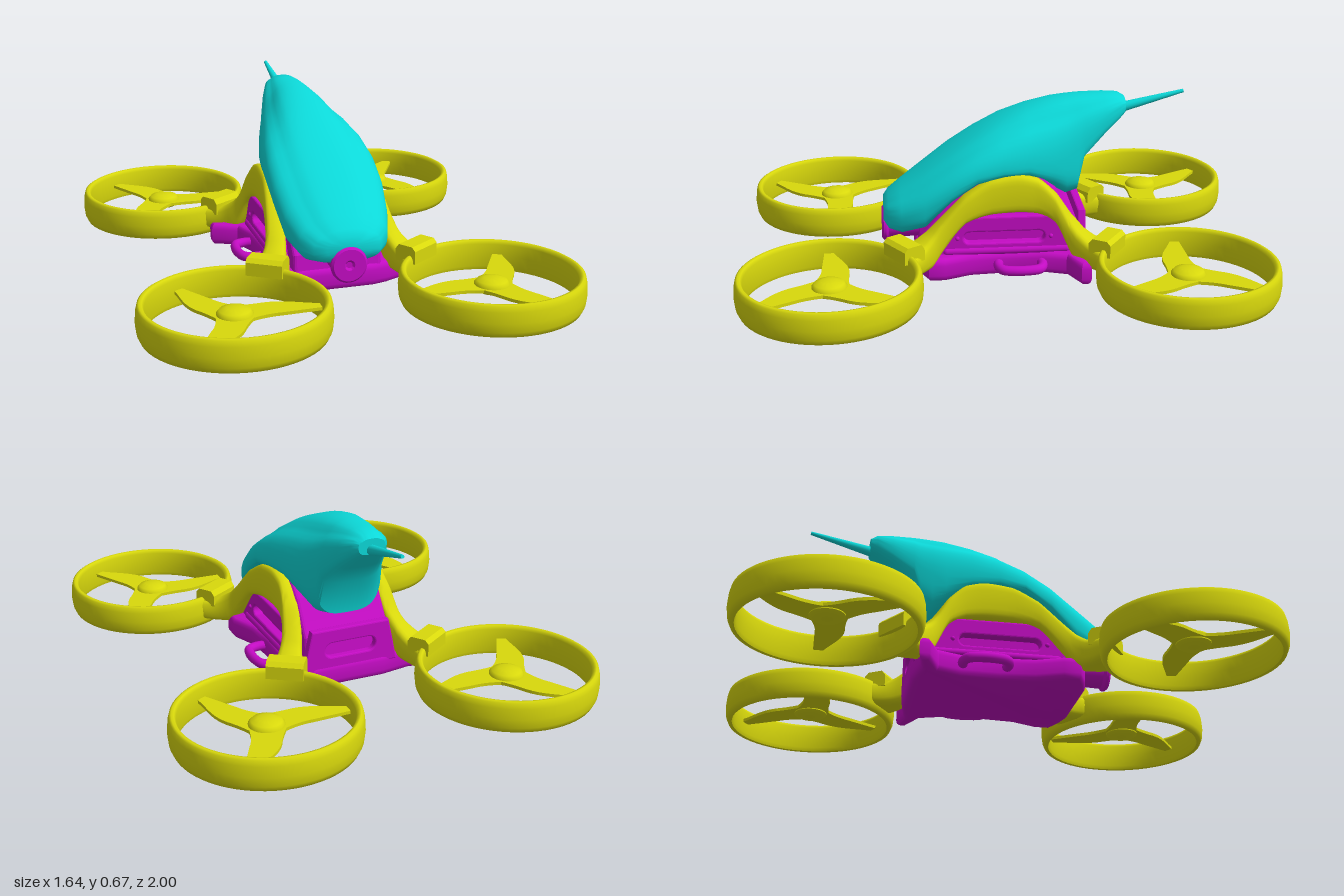
import * as THREE from 'three';
import { toCreasedNormals } from 'three/addons/utils/BufferGeometryUtils.js';

const V = (x, y, z) => new THREE.Vector3(x, y, z);
const paint = (color) => new THREE.MeshStandardMaterial({ color });
const yellow = paint(0xd8d80c), cyan = paint(0x0cd8d8), magenta = paint(0xc40cc4);

function add(parent, name, geometry, material, x = 0, y = 0, z = 0) {
  const mesh = new THREE.Mesh(geometry, material);
  mesh.name = name;
  mesh.position.set(x, y, z);
  parent.add(mesh);
  return mesh;
}

// Skin over rings of points that run counterclockwise and advance towards -z
function loft(rings, crease = 0.7) {
  const n = rings[0].length, last = rings.length - 1, pos = [], idx = [];
  rings.forEach((r) => r.forEach((p) => pos.push(p.x, p.y, p.z)));
  for (const end of [0, last]) {
    const c = rings[end].reduce((s, p) => s.add(p), V(0, 0, 0)).divideScalar(n);
    pos.push(c.x, c.y, c.z);
  }
  const c0 = n * (last + 1);
  for (let j = 0; j < n; j++) {
    const k = (j + 1) % n;
    for (let i = 0; i < last; i++) {
      const a = i * n + j, b = i * n + k;
      idx.push(a, a + n, b, b, a + n, b + n);
    }
    idx.push(c0, j, k, c0 + 1, last * n + k, last * n + j);
  }
  const g = new THREE.BufferGeometry();
  g.setAttribute('position', new THREE.Float32BufferAttribute(pos, 3));
  g.setIndex(idx);
  return toCreasedNormals(g, crease);
}

// Superellipse coordinate
const power = (v, e) => Math.sign(v) * Math.pow(Math.abs(v), e);

// Extrusion of a side (z, y) outline across x
function sideSlab(shape, width, bevel = 0) {
  const g = new THREE.ExtrudeGeometry(shape, {
    depth: width - 2 * bevel, bevelEnabled: bevel > 0, bevelSize: bevel,
    bevelThickness: bevel, bevelOffset: -bevel, bevelSegments: 3, curveSegments: 8,
  });
  g.translate(0, 0, bevel - width / 2);
  return g.rotateY(-Math.PI / 2);
}

const outline = (pts) => new THREE.Shape(pts.map(([a, b]) => new THREE.Vector2(a, b)));

function slot(cx, cy, w, h) {
  const p = new THREE.Path(), r = h / 2, s = w / 2 - r;
  p.absarc(cx + s, cy, r, -Math.PI / 2, Math.PI / 2);
  p.absarc(cx - s, cy, r, Math.PI / 2, Math.PI * 1.5);
  p.closePath();
  return p;
}

// Body shell: z, top, widest height, bottom, half width
function shell() {
  const rows = [
    [0.46, 0.255, 0.215, 0.18, 0.085], [0.44, 0.28, 0.21, 0.155, 0.13], [0.39, 0.317, 0.225, 0.145, 0.172],
    [0.3, 0.385, 0.27, 0.17, 0.203], [0.2, 0.46, 0.345, 0.28, 0.218], [0.1, 0.525, 0.4, 0.355, 0.22],
    [0, 0.582, 0.425, 0.375, 0.212], [-0.1, 0.622, 0.43, 0.37, 0.193], [-0.2, 0.649, 0.43, 0.31, 0.168],
    [-0.25, 0.656, 0.45, 0.275, 0.152], [-0.295, 0.661, 0.48, 0.285, 0.135], [-0.32, 0.662, 0.51, 0.42, 0.126],
    [-0.4, 0.664, 0.57, 0.505, 0.098], [-0.46, 0.66, 0.61, 0.56, 0.072], [-0.485, 0.645, 0.62, 0.585, 0.052],
  ];
  return loft(rows.map(([z, top, mid, low, w]) => Array.from({ length: 48 }, (_, j) => {
    const a = (j / 48) * Math.PI * 2, s = Math.sin(a), c = Math.cos(a);
    const e = s > 0 ? 0.92 : 0.6;
    // Shallow groove on both shoulders marks off the raised spine
    const groove = s > 0 ? 1 - 0.05 * Math.exp(-(((Math.asin(s) - 0.85) / 0.16) ** 2)) : 1;
    return V(w * power(c, e) * groove, mid + (s > 0 ? top - mid : mid - low) * power(s, e) * groove, z);
  })));
}

// Arched arm joining the front and rear rotor: x, z, top, bottom, half width
function arch(side) {
  const rows = [
    [0.3, 0.395, 0.145, 0.05, 0.088], [0.265, 0.34, 0.155, 0.05, 0.06], [0.237, 0.29, 0.19, 0.06, 0.045],
    [0.22, 0.24, 0.24, 0.12, 0.038], [0.205, 0.15, 0.33, 0.22, 0.034], [0.195, 0.05, 0.387, 0.248, 0.03],
    [0.19, -0.05, 0.4, 0.252, 0.03], [0.19, -0.13, 0.383, 0.245, 0.03], [0.197, -0.2, 0.32, 0.21, 0.034],
    [0.212, -0.25, 0.24, 0.12, 0.038], [0.235, -0.29, 0.19, 0.06, 0.045], [0.265, -0.34, 0.155, 0.05, 0.06],
    [0.3, -0.395, 0.145, 0.05, 0.088],
  ];
  const path = new THREE.CatmullRomCurve3(rows.map((r) => V(side * r[0], 0, r[1])));
  const size = new THREE.CatmullRomCurve3(rows.map((r) => V(r[2], r[3], r[4])));
  const rings = [];
  for (let i = 0; i <= 48; i++) {
    const p = path.getPoint(i / 48), s = size.getPoint(i / 48);
    const across = path.getTangent(i / 48).cross(V(0, 1, 0)).normalize();
    rings.push(Array.from({ length: 20 }, (_, j) => {
      const a = (j / 20) * Math.PI * 2;
      const q = p.clone().addScaledVector(across, s.z * power(Math.cos(a), 0.55));
      q.y = (s.x + s.y) / 2 + ((s.x - s.y) / 2) * power(Math.sin(a), 0.55);
      return q;
    }));
  }
  return loft(rings, 0.9);
}

// Swept blade, flipped by hand so that neighbouring rotors mirror each other
function blade(hand) {
  const s = new THREE.Shape();
  s.moveTo(0, hand * 0.075);
  s.quadraticCurveTo(0.09, hand * 0.03, 0.16, hand * 0.034);
  s.lineTo(0.311, hand * 0.03);
  s.lineTo(0.313, hand * -0.005);
  s.bezierCurveTo(0.25, hand * -0.025, 0.2, hand * -0.07, 0.12, hand * -0.07);
  s.quadraticCurveTo(0.06, hand * -0.065, 0, hand * -0.075);
  const g = new THREE.ExtrudeGeometry(s, { depth: 0.012, bevelEnabled: false, curveSegments: 10 });
  return g.rotateX(-Math.PI / 2);
}

function rotor(sx, sz) {
  const g = new THREE.Group();
  g.name = 'rotor';
  g.position.set(sx * 0.48, 0, sz * 0.66);
  const duct = [
    [0.314, 0.03], [0.329, 0.03], [0.338, 0.05], [0.342, 0.085], [0.339, 0.125], [0.334, 0.145],
    [0.326, 0.15], [0.316, 0.148], [0.309, 0.135], [0.307, 0.09], [0.309, 0.045], [0.314, 0.03],
  ].map(([r, y]) => new THREE.Vector2(r, y));
  add(g, 'duct', new THREE.LatheGeometry(duct, 64), yellow);
  const hub = [[0, 0.068], [0.05, 0.07], [0.065, 0.08], [0.065, 0.1], [0.055, 0.112], [0.03, 0.12], [0, 0.122]];
  add(g, 'hub', toCreasedNormals(new THREE.LatheGeometry(hub.map(([r, y]) => new THREE.Vector2(r, y)), 32), 0.8), yellow);
  // One blade points towards the centre line
  for (let i = 0; i < 3; i++) {
    const b = add(g, 'blade', blade(sx * sz), yellow, 0, 0.084, 0);
    b.rotation.y = (sx > 0 ? Math.PI : 0) + (i * Math.PI * 2) / 3;
  }
  // Clamp that holds the duct on its arm
  const c = new THREE.ExtrudeGeometry(outline([[-0.045, 0.12], [0.045, 0.12], [0.045, 0.17], [0.03, 0.185], [-0.03, 0.185], [-0.045, 0.165]]),
    { depth: 0.14, bevelEnabled: false }).translate(0, 0, -0.07);
  const clamp = add(g, 'clamp', c, yellow, -sx * 0.19, 0, -sz * 0.275);
  clamp.rotation.y = Math.atan2(-sz * 0.83, sx * 0.55);
  return g;
}

export function createModel() {
  const model = new THREE.Group();
  model.name = 'quadcopter';

  add(model, 'bodyShell', shell(), cyan);
  const antenna = add(model, 'antenna', new THREE.CylinderGeometry(0.007, 0.02, 0.25, 16), cyan, 0, 0.63, -0.598);
  antenna.rotation.x = -Math.atan2(0.24, 0.06);

  for (const sx of [1, -1]) {
    add(model, 'arm', arch(sx), yellow);
    for (const sz of [1, -1]) model.add(rotor(sx, sz));
  }

  // Core that fills the space under the shell
  const core = [[0.33, 0.06], [0.32, 0.15], [0.25, 0.235], [0.15, 0.34], [0.05, 0.396], [-0.05, 0.41],
    [-0.13, 0.395], [-0.2, 0.33], [-0.25, 0.25], [-0.285, 0.2], [-0.3, 0.06]];
  add(model, 'core', sideSlab(outline(core), 0.35, 0.015), magenta);

  // Belly plate with a narrow waist and four spread corners
  const half = [[0.14, 0.335], [0.2, 0.32], [0.265, 0.29], [0.265, 0.23], [0.225, 0.13], [0.215, 0],
    [0.22, -0.15], [0.25, -0.24], [0.345, -0.285], [0.345, -0.315], [0.26, -0.3], [0.14, -0.32]];
  const plate = [...half, ...half.slice().reverse().map(([x, z]) => [-x, z])];
  const plateGeometry = new THREE.ExtrudeGeometry(outline(plate.map(([x, z]) => [x, -z])), {
    depth: 0.04, bevelThickness: 0.025, bevelSize: 0.02, bevelOffset: -0.015, bevelSegments: 3,
  }).rotateX(-Math.PI / 2);
  add(model, 'bellyPlate', toCreasedNormals(plateGeometry, 0.6), magenta, 0, 0.027, 0);

  for (const sx of [1, -1]) {
    // Side panel with a long vent, and screws at both ends
    const panel = outline([[0.3, 0.07], [0.25, 0.13], [0.21, 0.225], [0.19, 0.24], [-0.2, 0.24], [-0.22, 0.225], [-0.25, 0.13], [-0.3, 0.07]]);
    panel.holes.push(slot(0, 0.155, 0.31, 0.045));
    add(model, 'sidePanel', sideSlab(panel, 0.045, 0.008), magenta, sx * 0.19, 0, 0);
    for (const z of [0.18, -0.18]) {
      add(model, 'screw', new THREE.SphereGeometry(0.009, 12, 8), magenta, sx * 0.212, 0.155, z);
    }
    add(model, 'lowerRail', new THREE.CapsuleGeometry(0.016, 0.46, 6, 12).rotateX(Math.PI / 2), magenta, sx * 0.205, 0.1, -0.01);
    // Carry handle
    const grip = new THREE.CatmullRomCurve3([[0.2, 0.02], [0.25, 0.025], [0.285, 0.01], [0.297, -0.03],
      [0.297, -0.09], [0.285, -0.13], [0.25, -0.145], [0.2, -0.14]].map(([x, z]) => V(sx * x, 0.05, z)));
    add(model, 'handle', new THREE.TubeGeometry(grip, 40, 0.019, 12), magenta);
  }

  // Framed rear hatch
  const hatch = outline([[-0.19, 0.07], [0.19, 0.07], [0.155, 0.23], [-0.155, 0.23]]);
  hatch.holes.push(slot(0, 0.15, 0.22, 0.07));
  add(model, 'rearHatch', new THREE.ExtrudeGeometry(hatch, { depth: 0.02, bevelSize: 0.006, bevelThickness: 0.006, bevelSegments: 2 }), magenta, 0, 0, -0.315);

  // Round camera nose with a recessed centre
  const nose = [[0.055, 0.28], [0.06, 0.44], [0.07, 0.45], [0.07, 0.46], [0.062, 0.468], [0.02, 0.468], [0.012, 0.46], [0, 0.46]];
  add(model, 'nose', toCreasedNormals(new THREE.LatheGeometry(nose.map(([r, y]) => new THREE.Vector2(r, y)), 32).rotateX(Math.PI / 2), 0.6), magenta, 0, 0.148, 0);

  return model;
}
